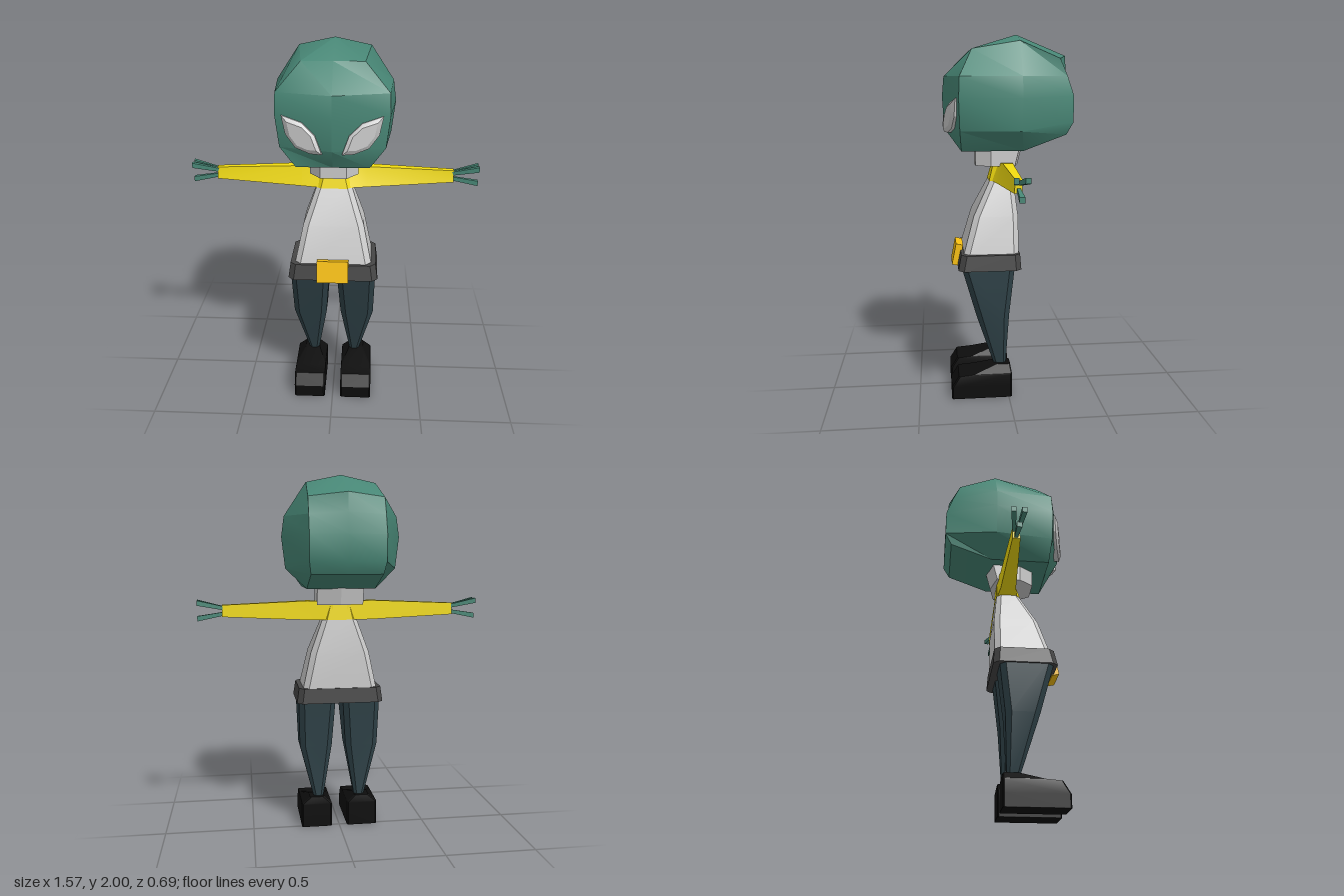
import * as THREE from 'three';
import { toCreasedNormals } from 'three/addons/utils/BufferGeometryUtils.js';

const mat = (color) => new THREE.MeshStandardMaterial({ color });
const GREEN = mat(0x488776), GREY = mat(0xcccccc), YELLOW = mat(0xf2dc10), GOLD = mat(0xf8c010);
const BELT = mat(0x464646), PANTS = mat(0x2f4248), BLACK = mat(0x0d0d0d);

// Skins a stack of equal-length rings and closes both ends with a fan to a centre point.
function loft(name, rings, material, { start, end, crease = 0.4 } = {}) {
  const n = rings[0].length;
  const mean = (ring) => [0, 1, 2].map((k) => ring.reduce((s, p) => s + p[k], 0) / n);
  const a = start ?? mean(rings[0]);
  const b = end ?? mean(rings[rings.length - 1]);
  const tris = [];
  for (let i = 0; i < n; i++) {
    const j = (i + 1) % n;
    tris.push([a, rings[0][j], rings[0][i]]);
    for (let r = 0; r < rings.length - 1; r++) {
      const lo = rings[r], hi = rings[r + 1];
      tris.push([lo[i], lo[j], hi[j]], [lo[i], hi[j], hi[i]]);
    }
    tris.push([b, rings[rings.length - 1][i], rings[rings.length - 1][j]]);
  }
  // Turn every face outward by the sign of the enclosed volume
  const c = new THREE.Vector3(...a);
  let volume = 0;
  for (const t of tris) {
    const [p, q, r] = t.map((v) => new THREE.Vector3(...v).sub(c));
    volume += p.dot(q.cross(r));
  }
  if (volume < 0) tris.forEach((t) => t.reverse());
  const g = new THREE.BufferGeometry();
  g.setAttribute('position', new THREE.Float32BufferAttribute(tris.flat(2), 3));
  const mesh = new THREE.Mesh(toCreasedNormals(g, crease), material);
  mesh.name = name;
  return mesh;
}

// Horizontal rectangle with cut corners
const slab = (y, x0, x1, z0, z1, c) => [
  [x0 + c, y, z1], [x1 - c, y, z1], [x1, y, z1 - c], [x1, y, z0 + c],
  [x1 - c, y, z0], [x0 + c, y, z0], [x0, y, z0 + c], [x0, y, z1 - c],
];
const mid = (y, w, z0, z1, c) => slab(y, -w, w, z0, z1, c);

// Completes a half ring that runs from front centre to back centre
const mirrorRing = (half) => [
  ...half, ...half.slice(1, -1).reverse().map(([x, y, z]) => [-x, y, z]),
];
const flip = (rings, s) => rings.map((ring) => ring.map(([x, y, z]) => [x * s, y, z]));

export function createModel() {
  const model = new THREE.Group();

  // Head: front ridge, front edge, side, back edge, back centre on each level
  const head = [
    [[0, 1.92, 0.19], [0.16, 1.92, 0.19], [0.19, 1.96, -0.06], [0.2, 1.87, -0.27], [0, 1.89, -0.33]],
    [[0, 1.78, 0.335], [0.285, 1.78, 0.26], [0.31, 1.78, -0.06], [0.2, 1.78, -0.31], [0, 1.79, -0.338]],
    [[0, 1.67, 0.345], [0.29, 1.67, 0.265], [0.325, 1.67, -0.06], [0.2, 1.68, -0.345], [0, 1.68, -0.345]],
    [[0, 1.5, 0.335], [0.27, 1.5, 0.26], [0.305, 1.5, -0.06], [0.2, 1.54, -0.345], [0, 1.54, -0.345]],
    [[0, 1.39, 0.25], [0.19, 1.39, 0.25], [0.19, 1.39, -0.08], [0.19, 1.475, -0.31], [0, 1.475, -0.31]],
  ].map(mirrorRing);
  model.add(loft('head', head, GREEN, { start: [0, 2, -0.06], end: [0, 1.39, -0.08], crease: 0.6 }));

  // Neck, collar, torso, belt
  const neckRing = (y, back) => mirrorRing([
    [0, y, 0.17], [0.07, y, 0.17], [0.13, y, 0.09], [0.13, y, back + 0.03], [0, y, back],
  ]);
  model.add(loft('neck', [neckRing(1.3, -0.07), neckRing(1.42, -0.1)], GREY));
  model.add(loft('collar', [
    mid(1.215, 0.098, -0.04, 0.095, 0.025), mid(1.31, 0.075, -0.035, 0.07, 0.025),
  ], YELLOW));
  model.add(loft('torso', [
    mid(0.82, 0.21, -0.058, 0.245, 0.03), mid(1.03, 0.165, -0.058, 0.185, 0.03),
    mid(1.22, 0.096, -0.038, 0.09, 0.025),
  ], GREY));
  model.add(loft('belt', [
    mid(0.745, 0.245, -0.068, 0.275, 0.03), mid(0.83, 0.233, -0.062, 0.258, 0.03),
  ], BELT));

  const buckle = new THREE.Mesh(new THREE.BoxGeometry(0.17, 0.12, 0.04), GOLD);
  buckle.name = 'buckle';
  buckle.position.set(0, 0.802, 0.275);
  buckle.rotation.x = -0.2;
  model.add(buckle);

  // Almond eye outline
  const eyeOutline = [
    [0.255, 1.67], [0.15, 1.64], [0.085, 1.58], [0.05, 1.485], [0.11, 1.485], [0.185, 1.51], [0.235, 1.575],
  ];
  const eyeRing = (scale, lift) => eyeOutline.map(([x, y]) => {
    const u = 0.15 + (x - 0.15) * scale, v = 1.57 + (y - 1.57) * scale;
    return [u, v, 0.343 - 0.27 * u + lift];
  });

  // Arm cross-section: wider in depth at its lower edge
  const armRing = (x, y0, y1, back, top, bottom) => [
    [x, y1, back], [x, y1, top], [x, y0, bottom], [x, y0, back],
  ];
  const fingerRing = (x, y, z, h, w) => [
    [x, y + h, z - w], [x, y + h, z + w], [x, y - h, z + w], [x, y - h, z - w],
  ];

  for (const [side, s] of [['left', 1], ['right', -1]]) {
    const add = (part, rings, material, options) =>
      model.add(loft(side + part, flip(rings, s), material, options));

    add('Eye', [eyeRing(1, -0.03), eyeRing(1, 0.008), eyeRing(0.72, 0.022)], GREY);

    add('Arm', [
      armRing(0.04, 1.215, 1.315, -0.037, 0.05, 0.09),
      armRing(0.18, 1.215, 1.322, -0.025, 0.03, 0.06),
      armRing(0.65, 1.237, 1.302, -0.016, 0.018, 0.024),
    ], YELLOW);

    // Two upper fingers and a thumb, flaring to the tips
    [['FrontFinger', 1, 1], ['BackFinger', 1, -1], ['Thumb', -1, 0]].forEach(([part, up, fore]) => {
      add(part, [
        fingerRing(0.64, 1.269 + up * 0.015, 0.002 + fore * 0.009, 0.01, 0.008),
        fingerRing(0.785, 1.272 + up * 0.044, 0.002 + fore * 0.027, 0.014, 0.013),
      ], GREEN);
    });

    add('Leg', [
      slab(0.77, 0.02, 0.233, -0.035, 0.26, 0.03),
      slab(0.48, 0.04, 0.226, -0.003, 0.178, 0.03),
      slab(0.17, 0.092, 0.147, 0.01, 0.078, 0.015),
    ], PANTS);

    add('Shoe', [
      slab(0, 0.045, 0.22, -0.018, 0.32, 0.008),
      slab(0.07, 0.045, 0.22, -0.018, 0.32, 0.008),
      slab(0.133, 0.045, 0.22, -0.018, 0.28, 0.008),
      slab(0.14, 0.047, 0.218, -0.018, 0.2, 0.008),
      slab(0.178, 0.09, 0.172, -0.012, 0.075, 0.008),
    ], BLACK);
  }
  return model;
}
